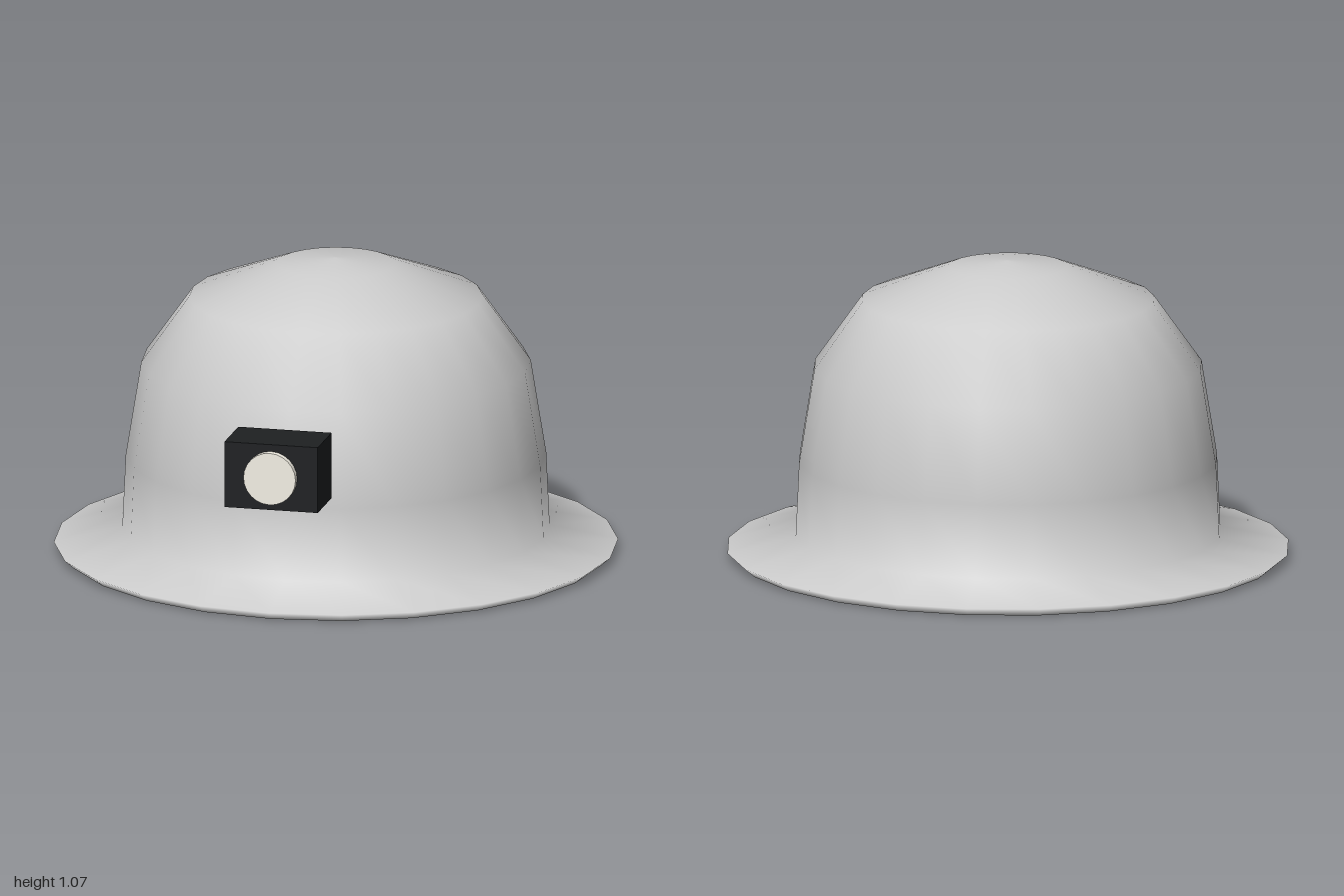
import * as THREE from 'three';

const grey = new THREE.MeshStandardMaterial({ color: 0xcccccc, side: THREE.DoubleSide });
const black = new THREE.MeshStandardMaterial({ color: 0x1e2022 });
const glass = new THREE.MeshStandardMaterial({ color: 0xf3efe4 });

export function createModel() {
  const group = new THREE.Group();

  function add(name, geometry, material, x = 0, y = 0, z = 0) {
    const mesh = new THREE.Mesh(geometry, material);
    mesh.name = name;
    mesh.position.set(x, y, z);
    group.add(mesh);
  }

  // Thin helmet shell: turned-in lip, sloping brim, steep wall and dome
  const profile = [
    [0.965, 0], [1, 0.03], [0.757, 0.085], [0.745, 0.35], [0.69, 0.69],
    [0.52, 0.93], [0.21, 1.05], [0.006, 1.07], [0, 1.07],
  ].map(([r, y]) => new THREE.Vector2(r, y));
  add('helmetShell', new THREE.LatheGeometry(profile, 24), grey);

  // Dark sweatband inside the opening
  const band = new THREE.TorusGeometry(0.722, 0.025, 8, 24);
  band.rotateX(Math.PI / 2);
  add('sweatband', band, black, 0, 0.207, 0);

  // Head lamp: bracket through the shell, housing and round lens
  add('lampBracket', new THREE.BoxGeometry(0.21, 0.205, 0.09), black, 0, 0.483, 0.735);
  add('lampHousing', new THREE.BoxGeometry(0.34, 0.24, 0.205), black, 0, 0.52, 0.8625);
  const lens = new THREE.CylinderGeometry(0.095, 0.095, 0.04, 24);
  lens.rotateX(Math.PI / 2);
  add('lampLens', lens, glass, 0, 0.52, 0.97);

  return group;
}
